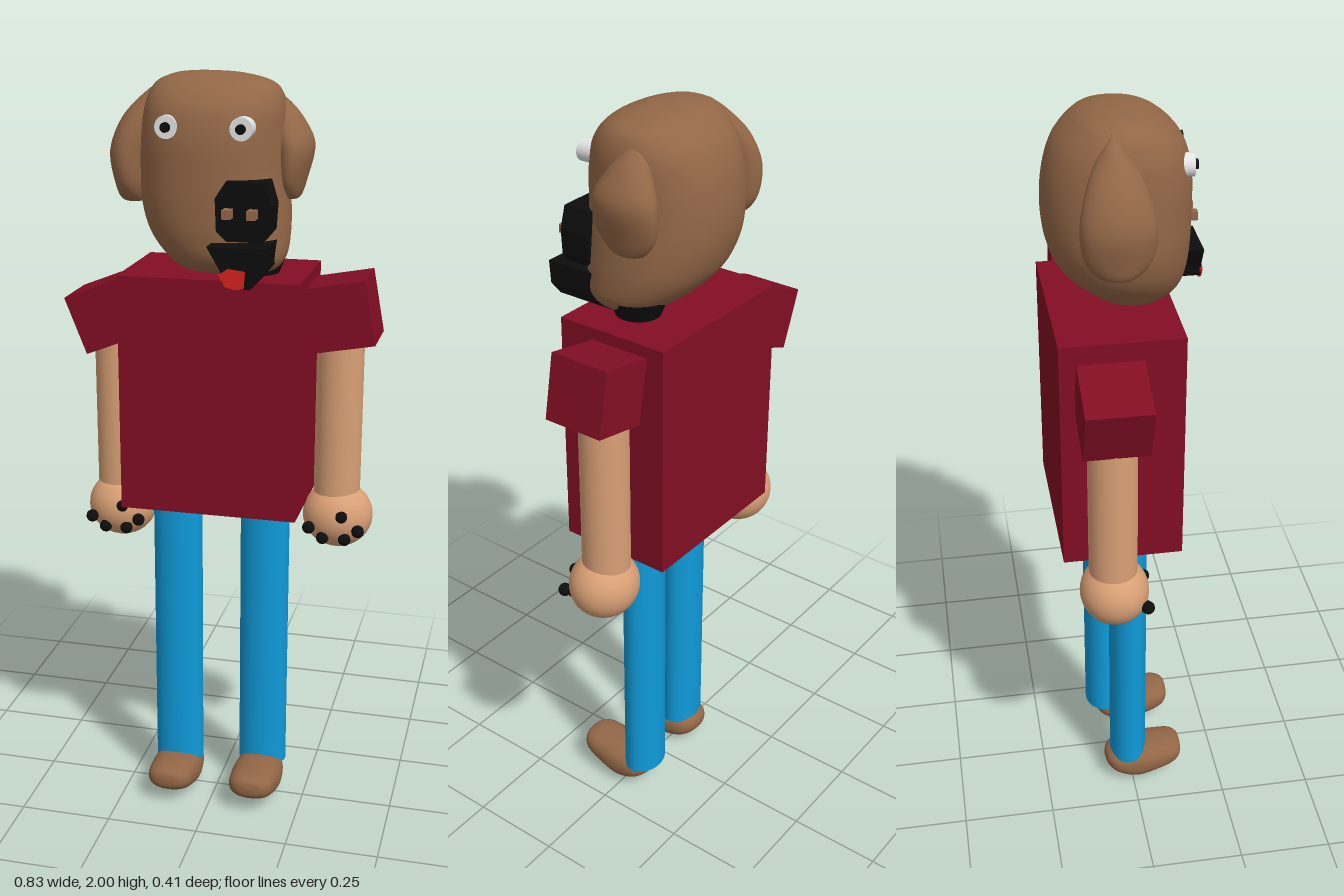
import * as THREE from 'three';

const mat = (name, color, side = THREE.FrontSide) => {
  const m = new THREE.MeshStandardMaterial({ color, side });
  m.name = name;
  return m;
};

// Smooth closed body from rows [y, xMin, xMax, zMin, zMax], lowest row first
function loft(rows, power = 1, steps = 36, sides = 40) {
  const xs = new THREE.CatmullRomCurve3(rows.map(r => new THREE.Vector3(r[1], r[0], r[2])));
  const zs = new THREE.CatmullRomCurve3(rows.map(r => new THREE.Vector3(r[3], r[0], r[4])));
  const round = v => Math.sign(v) * Math.abs(v) ** power;
  const pos = [], idx = [];
  for (let i = 0; i <= steps; i++) {
    const a = xs.getPoint(i / steps), b = zs.getPoint(i / steps);
    for (let j = 0; j < sides; j++) {
      const t = j / sides * Math.PI * 2;
      pos.push((a.x + a.z) / 2 + (a.z - a.x) / 2 * round(Math.cos(t)), a.y,
        (b.x + b.z) / 2 + (b.z - b.x) / 2 * round(Math.sin(t)));
      if (i === steps) continue;
      const p = i * sides + j, q = i * sides + (j + 1) % sides;
      idx.push(p, p + sides, q, q, p + sides, q + sides);
    }
  }
  const g = new THREE.BufferGeometry();
  g.setAttribute('position', new THREE.Float32BufferAttribute(pos, 3));
  g.setIndex(idx);
  g.computeVertexNormals();
  return g;
}

// Polygon in x/y pushed from z0 to z1
function prism(points, z0, z1) {
  const shape = new THREE.Shape(points.map(p => new THREE.Vector2(...p)));
  return new THREE.ExtrudeGeometry(shape, { depth: z1 - z0, bevelEnabled: false }).translate(0, 0, z0);
}

export function createModel() {
  const model = new THREE.Group();
  const shirt = mat('dark red shirt', 0x820e23);
  const trousers = mat('blue trousers', 0x0f9ad8);
  const skin = mat('tan skin', 0xd9a076);
  const fur = mat('brown fur', 0x936747);
  const black = mat('black', 0x0d0d0d);
  const white = mat('eye white', 0xe4e4e4);
  const red = mat('red tongue', 0xd8231f);

  const add = (name, geometry, material, x = 0, y = 0, z = 0) => {
    const m = new THREE.Mesh(geometry, material);
    m.name = name;
    m.position.set(x, y, z);
    model.add(m);
    return m;
  };

  // Torso
  add('torso', new THREE.BoxGeometry(0.468, 0.625, 0.308), shirt, 0, 1.192, -0.041);

  // Legs and shoes
  const shoe = loft([
    [-0.078, 0, 0, -0.062, -0.062],
    [-0.07, -0.035, 0.035, -0.082, -0.042],
    [-0.045, -0.06, 0.06, -0.097, -0.02],
    [0.01, -0.069, 0.069, -0.108, 0],
    [0.065, -0.067, 0.067, -0.111, -0.013],
    [0.12, -0.058, 0.058, -0.109, -0.037],
    [0.14, -0.038, 0.038, -0.1, -0.053],
    [0.146, 0, 0, -0.078, -0.078],
  ], 0.85).rotateX(Math.PI / 2);
  for (const [side, x, z, lift] of [['right', -0.112, -0.01, 0], ['left', 0.122, -0.05, 0.006]]) {
    const leg = add(side + 'Leg', new THREE.CylinderGeometry(0.067, 0.067, 0.81, 32), trousers, x, 0.487, z);
    leg.scale.z = 0.76;
    add(side + 'Shoe', shoe, fur, x, lift, 0);
  }

  // Arms: sleeve, forearm, paw and pads
  const pads = [[-0.066, -0.018], [-0.028, -0.044], [0.031, -0.044], [0.066, -0.018], [0.021, 0.019]];
  const arms = [
    { side: 'right', x: -0.294, hand: [-0.288, 0.82], sleeve: [-0.31, 1.368], size: [0.16, 0.16], tilt: 0.375, z: -0.075 },
    { side: 'left', x: 0.312, hand: [0.317, 0.843], sleeve: [0.323, 1.405], size: [0.152, 0.168], tilt: 0.185, z: -0.066 },
  ];
  for (const a of arms) {
    const sleeve = add(a.side + 'Sleeve', new THREE.BoxGeometry(...a.size, 0.163), shirt, ...a.sleeve, a.z);
    sleeve.rotation.z = a.tilt;
    add(a.side + 'Arm', new THREE.CylinderGeometry(0.062, 0.062, 0.46, 32), skin, a.x, 1.12, -0.077);
    const hand = add(a.side + 'Hand', new THREE.SphereGeometry(0.089, 32, 24), skin, ...a.hand, -0.073);
    hand.scale.x = 1.06;
    for (const [dx, dy] of pads)
      add(a.side + 'Pad', new THREE.SphereGeometry(0.017, 14, 10), black, a.hand[0] + dx, a.hand[1] + dy, 0.004);
  }

  // Head
  add('head', loft([
    [1.515, 0.03, 0.03, 0.02, 0.02],
    [1.52, -0.08, 0.15, -0.06, 0.09],
    [1.55, -0.118, 0.178, -0.11, 0.135],
    [1.61, -0.168, 0.185, -0.165, 0.15],
    [1.68, -0.192, 0.182, -0.193, 0.154],
    [1.76, -0.196, 0.175, -0.203, 0.155],
    [1.85, -0.192, 0.172, -0.196, 0.153],
    [1.92, -0.182, 0.168, -0.172, 0.135],
    [1.965, -0.163, 0.148, -0.132, 0.095],
    [1.99, -0.12, 0.08, -0.09, 0.04],
    [2.0, -0.04, -0.04, -0.025, -0.025],
  ], 0.9, 60, 48), fur);

  // Ears
  add('rightEar', loft([
    [1.668, -0.225, -0.225, -0.05, -0.05],
    [1.676, -0.262, -0.195, -0.095, -0.005],
    [1.72, -0.277, -0.185, -0.13, 0.03],
    [1.8, -0.288, -0.175, -0.138, 0.038],
    [1.88, -0.257, -0.15, -0.118, 0.018],
    [1.94, -0.2, -0.12, -0.083, -0.017],
    [1.982, -0.14, -0.14, -0.05, -0.05],
  ]), fur);
  add('leftEar', loft([
    [1.688, 0.185, 0.185, -0.05, -0.05],
    [1.696, 0.155, 0.203, -0.095, -0.005],
    [1.74, 0.145, 0.218, -0.13, 0.03],
    [1.825, 0.14, 0.235, -0.138, 0.038],
    [1.885, 0.13, 0.208, -0.108, 0.008],
    [1.925, 0.12, 0.175, -0.08, -0.02],
    [1.952, 0.14, 0.14, -0.05, -0.05],
  ]), fur);

  // Eyes
  const rod = (r, len) => new THREE.CylinderGeometry(r, r, len, 24).rotateX(Math.PI / 2);
  for (const [side, x] of [['right', -0.092], ['left', 0.093]]) {
    add(side + 'Eye', rod(0.028, 0.07), white, x, 1.878, 0.111);
    add(side + 'Pupil', rod(0.012, 0.012), black, x, 1.878, 0.15);
  }

  // Snout with nostrils
  add('snout', prism([[0.035, 1.635], [0.06, 1.612], [0.15, 1.612], [0.168, 1.635], [0.172, 1.7],
    [0.155, 1.755], [0.06, 1.757], [0.032, 1.715]], 0.075, 0.158), black);
  for (const x of [0.067, 0.128])
    add('nostril', new THREE.BoxGeometry(0.022, 0.022, 0.036), fur, x, 1.682, 0.174);

  // Lower jaw, tongue and throat
  add('jaw', prism([[0.022, 1.606], [0.055, 1.55], [0.06, 1.52], [0.09, 1.506], [0.13, 1.506],
    [0.163, 1.545], [0.168, 1.606]], -0.01, 0.203), black);
  add('tongue', prism([[0.052, 1.54], [0.068, 1.512], [0.09, 1.505], [0.115, 1.508], [0.118, 1.55], [0.075, 1.555]],
    0.2, 0.207), red);
  add('throat', new THREE.CylinderGeometry(0.075, 0.055, 0.05, 20), black, 0.1, 1.525, -0.02);

  return model;
}
